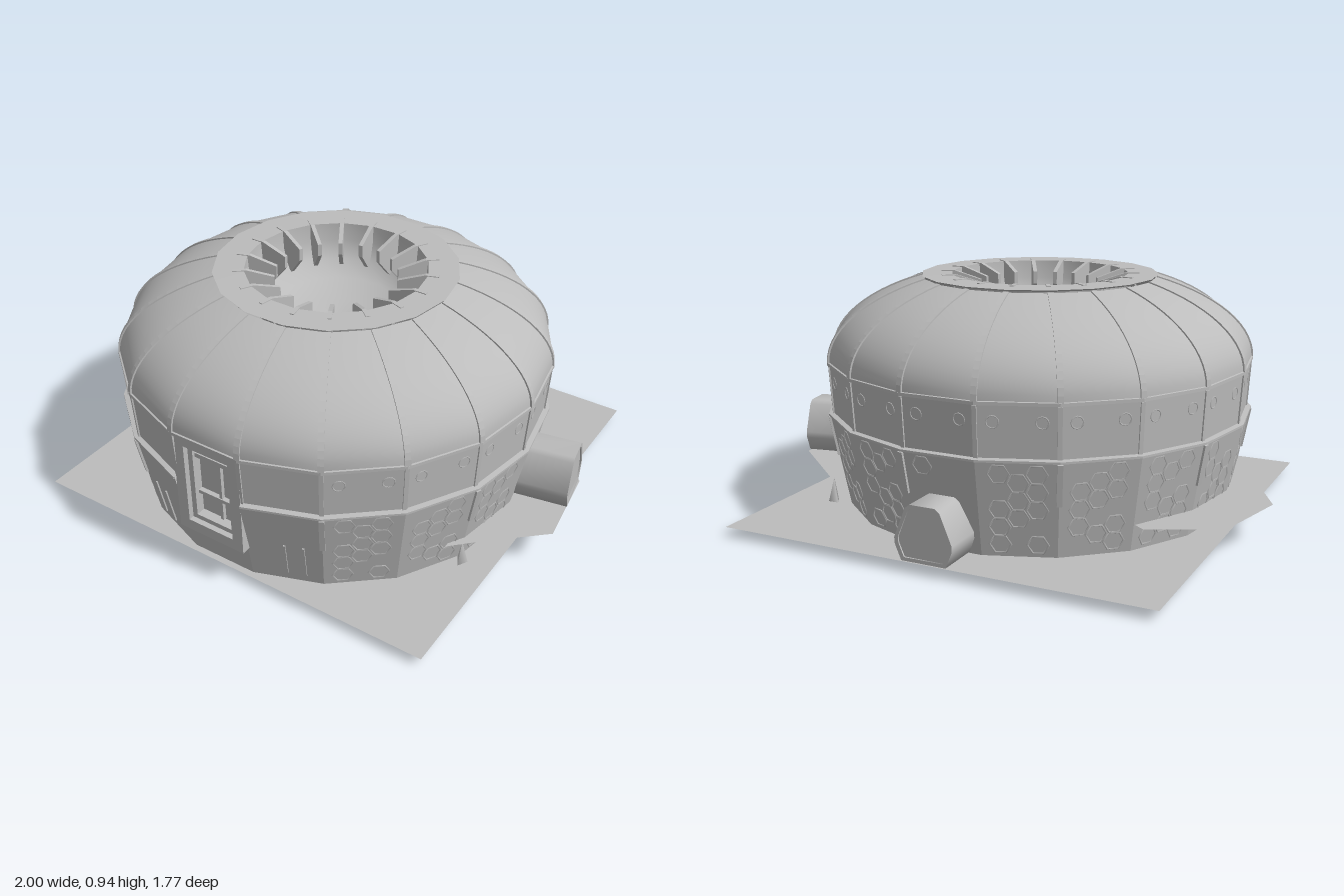
import * as THREE from 'three';
import { toCreasedNormals } from 'three/addons/utils/BufferGeometryUtils.js';

const rad = THREE.MathUtils.degToRad;
const SIDES = 18, STEP = 360 / SIDES, APO = Math.cos(rad(STEP / 2));
const TILT = Math.atan2(0.075, 0.4);
const wallR = (y) => 0.765 + 0.075 * (y / 0.4);
const v2 = (list) => list.map(([x, y]) => new THREE.Vector2(x, y));

export function createModel() {
  const grey = new THREE.MeshStandardMaterial({ color: 0xbcbcbc, side: THREE.DoubleSide });
  grey.name = 'plain grey';
  const model = new THREE.Group();
  const body = new THREE.Group();
  body.name = 'building';
  body.position.set(-0.007, 0, 0.045);
  model.add(body);

  const add = (parent, name, geo, x = 0, y = 0, z = 0) => {
    const m = new THREE.Mesh(geo, grey);
    m.name = name;
    m.position.set(x, y, z);
    parent.add(m);
    return m;
  };
  // group whose +z points outward at the given angle from the front
  const spoke = (name, deg) => {
    const g = new THREE.Group();
    g.name = name;
    g.rotation.y = rad(deg);
    body.add(g);
    return g;
  };
  const lathe = (pts, first = 10, count = SIDES) =>
    new THREE.LatheGeometry(v2(pts), count, rad(first), rad(count * STEP));
  const faceted = (geo) => toCreasedNormals(geo, 0.25);
  const extrude = (shape, depth) => new THREE.ExtrudeGeometry(shape, { depth, bevelEnabled: false });

  // walls: flared base and upright band, open at the front for the door
  add(body, 'baseWall', faceted(lathe([[0.725, 0.04], [0.725, 0.0], [0.765, 0], [0.842, 0.405], [0.826, 0.41]], 10, 17)));
  add(body, 'windowBand', faceted(lathe([[0.826, 0.41], [0.838, 0.605]], 10, 17)));
  add(body, 'doorSill', faceted(lathe([[0.725, 0.04], [0.725, 0], [0.765, 0], [wallR(0.18), 0.18], [0.72, 0.18]], -10, 1)));
  add(body, 'lowerRail', faceted(lathe([[0.83, 0.397], [0.846, 0.4], [0.846, 0.408], [0.82, 0.412]], 10, 17)));
  add(body, 'upperRail', faceted(lathe([[0.83, 0.597], [0.846, 0.6], [0.846, 0.612], [0.83, 0.616]])));

  // rounded roof, an ellipse cut off at the collar
  const END = Math.acos(0.46 / 0.84);
  const arc = (d) => Array.from({ length: 15 }, (_, i) => {
    const t = (i / 14) * END;
    return [(0.84 + d) * Math.cos(t), 0.61 + (0.37 + d) * Math.sin(t)];
  });
  add(body, 'roof', lathe(arc(0)));

  // flat collar and the sunken bowl
  add(body, 'collar', faceted(lathe([[0.445, 0.922], [0.468, 0.931], [0.35, 0.932]])));
  add(body, 'bowl', lathe([[0.35, 0.932], [0.345, 0.86], [0.32, 0.79], [0.25, 0.74], [0.13, 0.71], [0, 0.7]]));

  // roof ribs and bowl fins
  const ribGeo = extrude(new THREE.Shape(v2([...arc(0.005), ...arc(-0.012).reverse()])), 0.022);
  ribGeo.translate(0, 0, -0.011).rotateY(-Math.PI / 2);
  const finGeo = extrude(new THREE.Shape(v2([
    [0.392, 0.935], [0.34, 0.935], [0.235, 0.9], [0.235, 0.85], [0.3, 0.77], [0.345, 0.84], [0.35, 0.925], [0.392, 0.925],
  ])), 0.016);
  finGeo.translate(0, 0, -0.008).rotateY(-Math.PI / 2);
  const strutAngles = [30, 70, 130, 170, 210, 250, 290, 330];
  for (let i = 0; i < SIDES; i++) {
    const deg = 10 + i * STEP;
    const g = spoke('ribLine', deg);
    add(g, 'roofRib', ribGeo);
    add(g, 'bowlFin', finGeo);
    add(g, 'bandPost', new THREE.BoxGeometry(0.016, 0.19, 0.014), 0, 0.503, 0.829).rotation.x = 0.06;
    add(g, 'footTab', new THREE.BoxGeometry(0.012, 0.03, 0.05), 0, 0.016, 0.71);
    if (strutAngles.includes(deg)) {
      add(g, 'wallStrut', new THREE.BoxGeometry(0.02, 0.16, 0.016), 0, 0.32, wallR(0.32)).rotation.x = TILT;
    }
  }

  // wall panels: hexagon frames on the base, round studs on the band
  const hexGeo = new THREE.TorusGeometry(0.038, 0.004, 4, 6);
  const studGeo = new THREE.TorusGeometry(0.022, 0.0025, 4, 12);
  const barGeo = new THREE.BoxGeometry(0.008, 0.16, 0.012);
  for (let i = 1; i < SIDES; i++) {
    const g = spoke('wallPanel', i * STEP);
    const nearDoor = i === 1 || i === SIDES - 1;
    if (nearDoor) {
      const s = i === 1 ? 1 : -1;
      for (const x of [0, 0.07]) {
        add(g, 'wallBar', barGeo, s * x, 0.15, wallR(0.15) * APO).rotation.x = TILT;
      }
      continue;
    }
    for (const x of [-0.085, 0.085]) {
      add(g, 'bandStud', studGeo, x, 0.54, 0.834 * APO).rotation.x = 0.06;
    }
    for (let row = 0; row < 5; row++) {
      for (let col = -1; col <= 1; col++) {
        const y = 0.085 + row * 0.068 + (col ? 0 : 0.034);
        const skip = (i * 7 + row * 5 + col * 3 + 30) % 4 === 0 || y > 0.37;
        const behindTunnel = (i === 5 && y > 0.1) || (i === 9 && y < 0.29);
        if (skip || behindTunnel) continue;
        add(g, 'hexFrame', hexGeo, col * 0.066, y, wallR(y) * APO).rotation.x = TILT;
      }
    }
  }

  // rectangle frame with one opening
  const frame = (w, h, t, depth) => {
    const s = new THREE.Shape(v2([[-w / 2, 0], [w / 2, 0], [w / 2, h], [-w / 2, h]]));
    s.holes.push(new THREE.Path(v2([[-w / 2 + t, t], [-w / 2 + t, h - t], [w / 2 - t, h - t], [w / 2 - t, t]])));
    return extrude(s, depth);
  };
  // front door
  const door = spoke('frontDoor', 0);
  add(door, 'doorFrame', frame(0.288, 0.425, 0.045, 0.1), 0, 0.18, 0.722);
  add(door, 'innerFrame', frame(0.2, 0.34, 0.022, 0.04), 0, 0.222, 0.76);
  add(door, 'doorLeaf', new THREE.BoxGeometry(0.2, 0.34, 0.02), 0, 0.392, 0.753);
  add(door, 'transom', new THREE.BoxGeometry(0.16, 0.018, 0.03), 0, 0.51, 0.773);
  add(door, 'middleBar', new THREE.BoxGeometry(0.16, 0.014, 0.024), 0, 0.34, 0.77);
  add(door, 'centreBar', new THREE.BoxGeometry(0.012, 0.26, 0.02), 0.02, 0.38, 0.768);
  for (let k = -2; k <= 2; k++) {
    add(door, 'ventSlot', new THREE.BoxGeometry(0.018, 0.022, 0.012), k * 0.028, 0.538, 0.767);
  }

  // connecting tunnels: smooth-sided, narrow at the top
  const section = (k) => v2([[0.05, 0.106], [0.068, 0.092], [0.114, -0.02], [0.112, -0.045], [0.088, -0.102],
    [-0.088, -0.102], [-0.112, -0.045], [-0.114, -0.02], [-0.068, 0.092], [-0.05, 0.106]]).map((p) => p.multiplyScalar(k));
  const tube = new THREE.Shape(section(1));
  tube.holes.push(new THREE.Path(section(0.87)));
  for (const [name, deg, y, end] of [['sideTunnel', 100, 0.25, 0.99], ['backTunnel', 180, 0.145, 0.935]]) {
    const g = spoke(name, deg);
    add(g, 'tunnelShell', toCreasedNormals(extrude(tube, end - 0.72), 1.2), 0, y, 0.72);
    add(g, 'tunnelEnd', extrude(new THREE.Shape(section(0.88)), 0.02), 0, y, end - 0.026);
  }

  // ground plate and the two low side aprons with hanging brackets
  add(model, 'groundPlate', new THREE.PlaneGeometry(1.715, 1.715).rotateX(-Math.PI / 2), -0.003, 0.037, -0.027);
  const apron = (name, pts) => {
    const geo = new THREE.ShapeGeometry(new THREE.Shape(v2(pts.map(([x, z]) => [x, -z]))));
    add(model, name, geo.rotateX(-Math.PI / 2), 0, 0.14, 0);
  };
  apron('rightApron', [[-0.6, -0.45], [-0.66, -0.49], [-0.92, -0.36], [-1, -0.04], [-0.85, 0.24], [-0.76, 0.36], [-0.7, 0.2], [-0.7, -0.2]]);
  apron('leftApron', [[0.6, -0.45], [0.66, -0.48], [0.957, -0.22], [1, 0.12], [0.8, 0.3], [0.7, 0.4], [0.7, 0.2], [0.7, -0.2]]);
  for (const [x, z] of [[-0.755, 0.34], [0.74, 0.34], [0.65, -0.47]]) {
    add(model, 'apronBracket', new THREE.ConeGeometry(0.025, 0.1, 3), x, 0.09, z);
  }

  return model;
}
